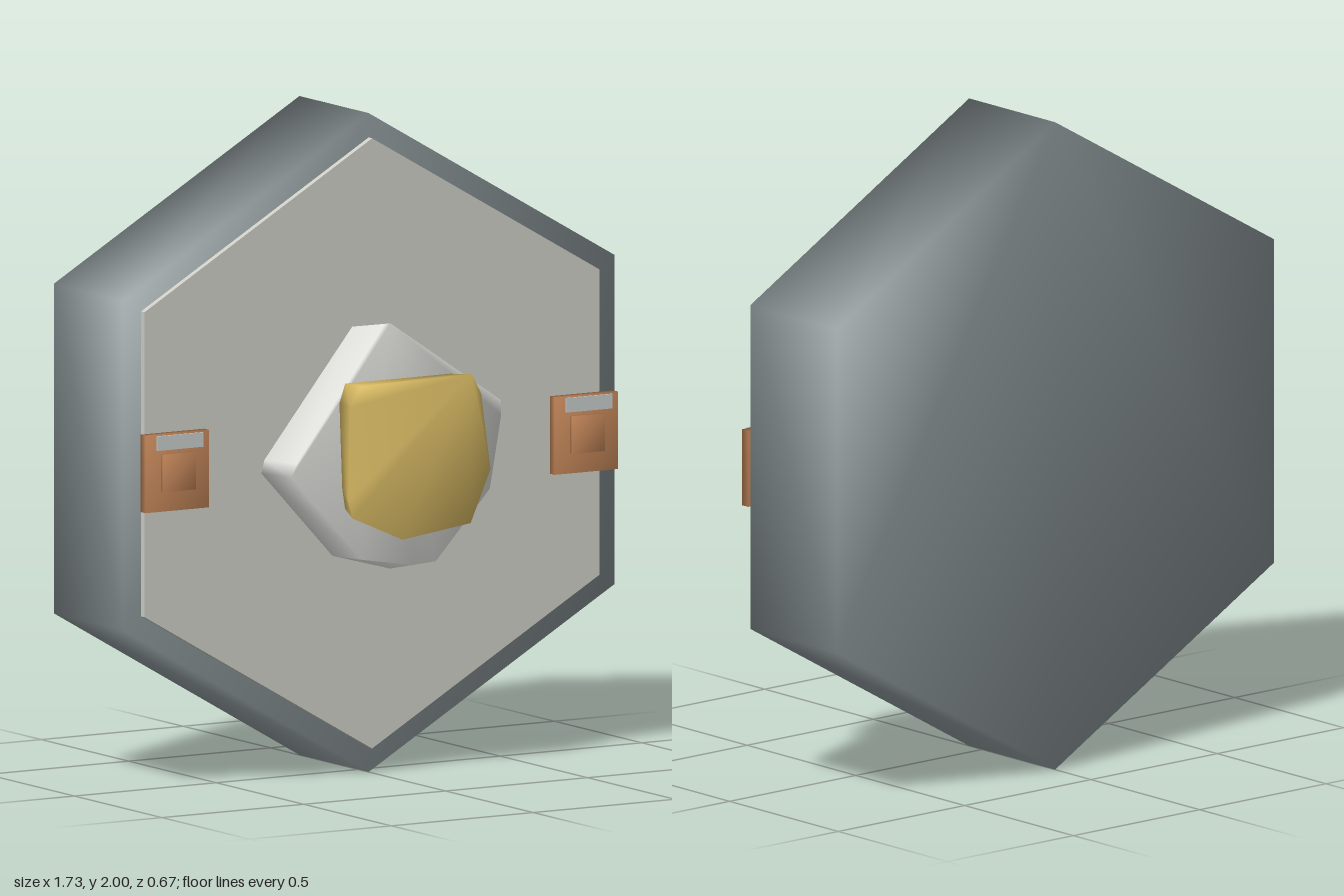
import * as THREE from 'three';

const mat = (name, color) => new THREE.MeshStandardMaterial({ name, color });

// Smooth-shaded solid between two convex loops of [x, y], both counter-clockwise seen from the front
function loft(back, front, zBack, zFront) {
  const n = front.length, pos = [], idx = [];
  back.forEach(([x, y]) => pos.push(x, y, zBack));
  front.forEach(([x, y]) => pos.push(x, y, zFront));
  for (let i = 0; i < n; i++) {
    const j = (i + 1) % n;
    idx.push(i, j, n + j, i, n + j, n + i);
    if (i > 0 && i < n - 1) idx.push(0, i + 1, i, n, n + i, n + i + 1);
  }
  const g = new THREE.BufferGeometry();
  g.setAttribute('position', new THREE.Float32BufferAttribute(pos, 3));
  g.setIndex(idx);
  g.computeVertexNormals();
  return g;
}

const hexagon = (r) => Array.from({ length: 6 }, (_, i) => {
  const a = Math.PI / 2 + i * Math.PI / 3;
  return [r * Math.cos(a), 1 + r * Math.sin(a)];
});

const rect = (w, h) => [[-w / 2, -h / 2], [w / 2, -h / 2], [w / 2, h / 2], [-w / 2, h / 2]];

export function createModel() {
  const model = new THREE.Group();
  const slate = mat('slate', 0x879194);
  const stone = mat('stone', 0xcfcfc7);
  const white = mat('white', 0xe4e4e0);
  const yellow = mat('yellow', 0xe0c168);
  const copper = mat('copper', 0xc98a5c);
  const silver = mat('silver', 0xc6cccb);

  const add = (parent, name, geometry, material) => {
    const mesh = new THREE.Mesh(geometry, material);
    mesh.name = name;
    parent.add(mesh);
    return mesh;
  };

  // Hexagonal block with a crisp thin panel on its front
  add(model, 'body', loft(hexagon(1), hexagon(1), -0.335, 0.06), slate);
  add(model, 'frontPanel', loft(hexagon(0.926), hexagon(0.926), 0.06, 0.08).toNonIndexed(), stone)
    .geometry.computeVertexNormals();

  // Irregular white boss
  const bossBack = [[-0.03, 1.34], [-0.07, 1.36], [-0.38, 0.98], [-0.39, 0.94], [-0.14, 0.67],
    [0.063, 0.615], [0.13, 0.65], [0.335, 0.86], [0.385, 1.066], [0.36, 1.12]];
  const bossFront = [[-0.04, 1.39], [-0.06, 1.39], [-0.37, 0.99], [-0.39, 0.95], [-0.14, 0.68],
    [0.04, 0.65], [0.12, 0.655], [0.31, 0.86], [0.35, 1.08], [0.35, 1.125]];
  add(model, 'boss', loft(bossBack, bossFront, 0.08, 0.25), white);

  // Yellow cap, flaring toward the front
  const capFront = [[0.195, 1.228], [-0.195, 1.222], [-0.235, 1.16], [-0.24, 0.877], [-0.227, 0.824],
    [-0.05, 0.745], [0.19, 0.776], [0.26, 0.934], [0.227, 1.166]];
  const capBack = [[0.17, 1.22], [-0.2, 1.22], [-0.22, 1.16], [-0.21, 0.9], [-0.2, 0.84],
    [-0.05, 0.78], [0.17, 0.79], [0.215, 0.94], [0.2, 1.16]];
  add(model, 'cap', loft(capBack, capFront, 0.25, 0.335), yellow);

  // Side clips
  for (const side of [-1, 1]) {
    const clip = new THREE.Group();
    clip.name = side > 0 ? 'leftClip' : 'rightClip';
    clip.position.set(side * 0.721, 0.98, 0);
    add(clip, 'clipPlate', loft(rect(0.224, 0.235), rect(0.224, 0.235), 0.108, 0.136), copper);
    add(clip, 'clipButton', loft(rect(0.116, 0.114), rect(0.116, 0.114), 0.13, 0.148), copper);
    const strip = add(clip, 'clipStrip', new THREE.BoxGeometry(0.162, 0.044, 0.006), silver);
    strip.position.set(0, 0.093, 0.15);
    model.add(clip);
  }
  return model;
}
